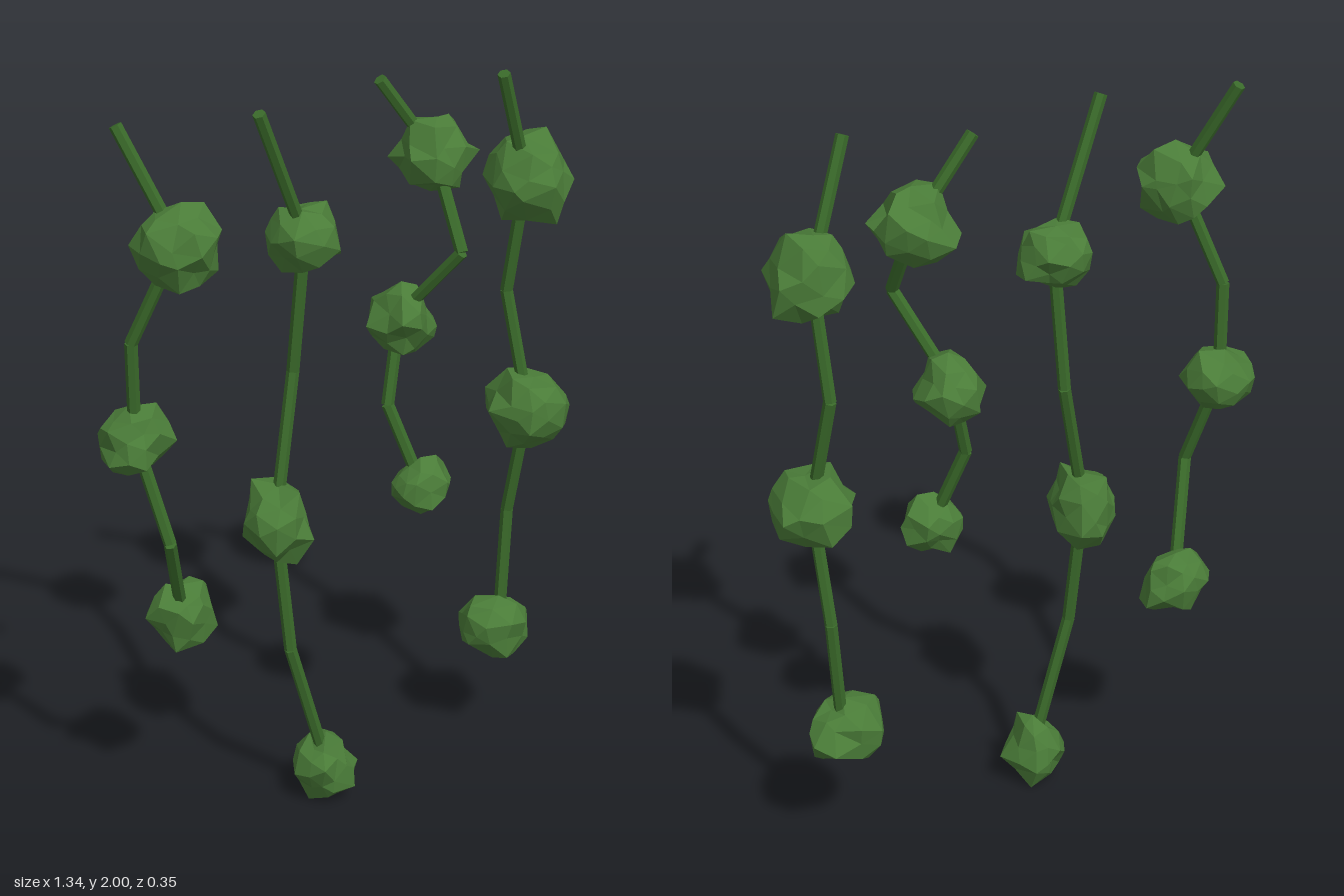
import * as THREE from 'three';
import { mergeVertices } from 'three/addons/utils/BufferGeometryUtils.js';

const STEM_RADIUS = 0.017;

// Each vine: path points from top to tip, and foliage clumps as [centre, size].
const VINES = [
  {
    path: [[-0.6, 1.992, -0.045], [-0.495, 1.71, 0.07], [-0.59, 1.43, -0.015],
      [-0.58, 1.16, -0.03], [-0.53, 0.89, 0.055], [-0.44, 0.615, -0.08]],
    clumps: [[[-0.492, 1.708, 0.075], [0.215, 0.215, 0.21]],
      [[-0.575, 1.16, -0.03], [0.19, 0.18, 0.18]],
      [[-0.44, 0.605, -0.09], [0.2, 0.18, 0.165]]],
  },
  {
    path: [[-0.257, 1.992, 0.045], [-0.095, 1.62, -0.03], [-0.115, 1.24, -0.06],
      [-0.2, 0.855, 0], [-0.175, 0.48, 0.03], [-0.065, 0.1, 0.02]],
    clumps: [[[-0.09, 1.61, -0.04], [0.19, 0.18, 0.19]],
      [[-0.198, 0.85, 0], [0.175, 0.21, 0.22]],
      [[-0.065, 0.0975, 0.023], [0.19, 0.195, 0.185]]],
  },
  {
    path: [[0.135, 1.99, -0.055], [0.295, 1.77, -0.055], [0.3, 1.54, 0.085],
      [0.205, 1.33, -0.07], [0.15, 1.1, -0.03], [0.22, 0.87, 0.035]],
    clumps: [[[0.295, 1.768, -0.055], [0.21, 0.205, 0.21]],
      [[0.212, 1.325, -0.07], [0.195, 0.19, 0.21]],
      [[0.225, 0.875, 0.035], [0.17, 0.17, 0.15]]],
  },
  {
    path: [[0.43, 1.992, 0.06], [0.55, 1.67, -0.015], [0.53, 1.34, -0.065],
      [0.565, 1.015, 0], [0.545, 0.69, -0.06], [0.515, 0.35, -0.04]],
    clumps: [[[0.555, 1.677, -0.01], [0.225, 0.24, 0.24]],
      [[0.557, 1.01, 0], [0.225, 0.22, 0.23]],
      [[0.51, 0.35, -0.04], [0.215, 0.18, 0.2]]],
  },
];

// Small seeded random generator
function seeded(seed) {
  let s = seed;
  return () => {
    s = (s * 16807) % 2147483647;
    return s / 2147483647;
  };
}

// Faceted lump: a subdivided icosahedron with uneven corners, fitted to a box
function clumpGeometry(centre, size, seed) {
  const random = seeded(seed * 7919 + 13);
  for (let i = 0; i < 5; i++) random();
  const ball = new THREE.IcosahedronGeometry(1, 1);
  ball.deleteAttribute('normal');
  ball.deleteAttribute('uv');
  const welded = mergeVertices(ball, 1e-3);
  const pos = welded.attributes.position;
  const v = new THREE.Vector3();
  for (let i = 0; i < pos.count; i++) {
    v.fromBufferAttribute(pos, i).multiplyScalar(0.8 + 0.25 * random());
    v.x += (random() - 0.5) * 0.25;
    v.y += (random() - 0.5) * 0.25;
    v.z += (random() - 0.5) * 0.25;
    pos.setXYZ(i, v.x, v.y, v.z);
  }
  const geo = welded.toNonIndexed();
  geo.center();
  geo.computeBoundingBox();
  const d = geo.boundingBox.getSize(v);
  geo.scale(size[0] / d.x, size[1] / d.y, size[2] / d.z);
  geo.translate(...centre);
  geo.computeVertexNormals();
  return geo;
}

// Straight six-sided stem piece between two points
function stemGeometry(a, b) {
  const dir = b.clone().sub(a);
  const geo = new THREE.CylinderGeometry(STEM_RADIUS, STEM_RADIUS, dir.length(), 6).toNonIndexed();
  geo.computeVertexNormals();
  geo.applyQuaternion(new THREE.Quaternion().setFromUnitVectors(
    new THREE.Vector3(0, -1, 0), dir.normalize()));
  const mid = a.clone().add(b).multiplyScalar(0.5);
  geo.translate(mid.x, mid.y, mid.z);
  return geo;
}

export function createModel() {
  const stemGreen = new THREE.MeshStandardMaterial({ color: 0x3a6a2a });
  stemGreen.name = 'stem green';
  const leafGreen = new THREE.MeshStandardMaterial({ color: 0x4a7c38 });
  leafGreen.name = 'leaf green';

  const model = new THREE.Group();
  model.name = 'hangingVines';

  VINES.forEach(({ path, clumps }, n) => {
    const vine = new THREE.Group();
    vine.name = `vine${n + 1}`;
    const points = path.map((p) => new THREE.Vector3(...p));

    // Stem
    for (let i = 0; i < points.length - 1; i++) {
      const stem = new THREE.Mesh(stemGeometry(points[i], points[i + 1]), stemGreen);
      stem.name = `stemPiece${i + 1}`;
      vine.add(stem);
    }

    // Foliage
    clumps.forEach(([centre, size], i) => {
      const clump = new THREE.Mesh(clumpGeometry(centre, size, n * 3 + i + 1), leafGreen);
      clump.name = `leafClump${i + 1}`;
      vine.add(clump);
    });
    model.add(vine);
  });
  return model;
}
